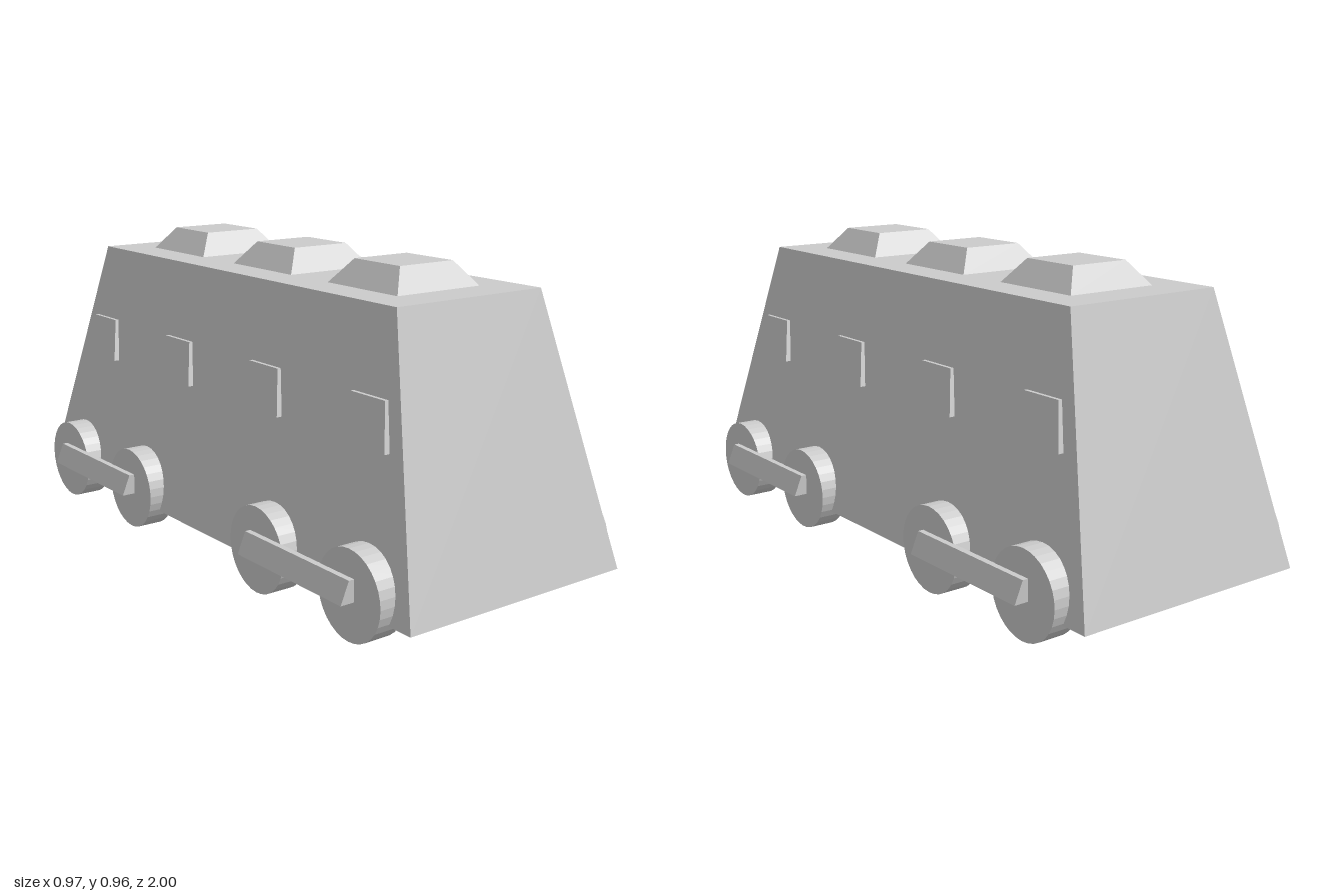
import * as THREE from 'three';

const material = new THREE.MeshStandardMaterial({ color: 0xcccccc, flatShading: true });

function addMesh(parent, name, geometry) {
  const mesh = new THREE.Mesh(geometry, material);
  mesh.name = name;
  parent.add(mesh);
  return mesh;
}

// Box whose bottom and top rectangles differ; each is [y, xMin, xMax, halfDepth]
function taperedBox(bottom, top) {
  const geometry = new THREE.BoxGeometry(1, 1, 1);
  const p = geometry.attributes.position;
  for (let i = 0; i < p.count; i++) {
    const [y, xMin, xMax, halfDepth] = p.getY(i) < 0 ? bottom : top;
    p.setXYZ(i, p.getX(i) < 0 ? xMin : xMax, y, Math.sign(p.getZ(i)) * halfDepth);
  }
  geometry.computeVertexNormals();
  return geometry;
}

// Windows, wheels and coupling rods along the +x side
function createSide(name) {
  const side = new THREE.Group();
  side.name = name;

  // Thin trapezoid windows leaning with the wall
  const windowGeometry = taperedBox([0.51, 0.31, 0.348, 0.106], [0.645, 0.295, 0.32, 0.072]);
  for (const z of [0.72, 0.24, -0.24, -0.72]) {
    addMesh(side, 'window', windowGeometry).position.z = z;
  }

  // Wheels partly sunk into the body
  const wheelGeometry = new THREE.CylinderGeometry(0.132, 0.132, 0.083, 32).rotateZ(Math.PI / 2);
  for (const z of [0.794, 0.366, -0.366, -0.794]) {
    addMesh(side, 'wheel', wheelGeometry).position.set(0.3975, 0.132, z);
  }

  // Rod joining each pair of wheels, with a sloping outer face
  const rodGeometry = taperedBox([0.12, 0.438, 0.484, 0.24], [0.185, 0.438, 0.457, 0.24]);
  for (const z of [0.578, -0.578]) {
    addMesh(side, 'couplingRod', rodGeometry).position.z = z;
  }
  return side;
}

export function createModel() {
  const model = new THREE.Group();
  model.name = 'armouredWagon';

  // Sloping hull
  addMesh(model, 'body', taperedBox([0.075, -0.4, 0.4, 1], [0.885, -0.27, 0.27, 0.775]));

  // Roof hatches
  const hatchGeometry = taperedBox([0.885, -0.155, 0.155, 0.155], [0.957, -0.1, 0.1, 0.1]);
  for (const z of [0.49, 0, -0.49]) {
    addMesh(model, 'roofHatch', hatchGeometry).position.z = z;
  }

  // Each side is the other turned half round
  const right = createSide('rightSide');
  right.rotation.y = Math.PI;
  model.add(createSide('leftSide'), right);
  return model;
}
